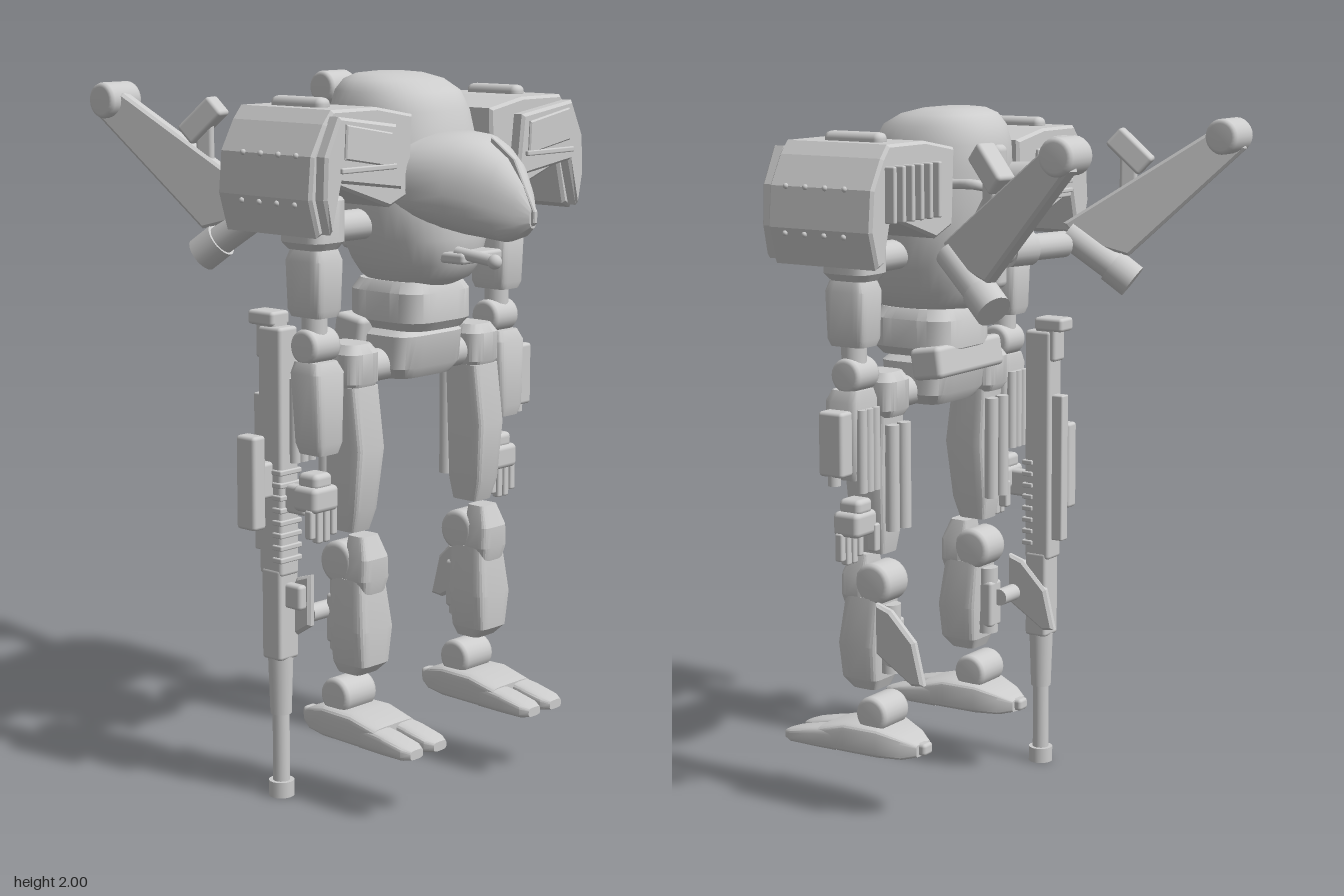
import * as THREE from 'three';
import { toCreasedNormals, mergeVertices } from 'three/addons/utils/BufferGeometryUtils.js';
import { RoundedBoxGeometry } from 'three/addons/geometries/RoundedBoxGeometry.js';

const armor = new THREE.MeshStandardMaterial({ color: 0xcccccc });
armor.name = 'light grey armor';

function add(parent, name, geo, x = 0, y = 0, z = 0) {
  const m = new THREE.Mesh(geo, armor);
  m.name = name;
  m.position.set(x, y, z);
  parent.add(m);
  return m;
}
// Rounded box given by its extents on each axis
function box(p, name, x0, x1, y0, y1, z0, z1, r = 0.01) {
  const w = Math.abs(x1 - x0), h = y1 - y0, d = z1 - z0;
  const rad = Math.min(r, w * 0.45, h * 0.45, d * 0.45);
  return add(p, name, new RoundedBoxGeometry(w, h, d, 2, rad), (x0 + x1) / 2, (y0 + y1) / 2, (z0 + z1) / 2);
}
// Cylinder between two points
function rod(p, name, a, b, r, r2 = r, n = 20) {
  const A = new THREE.Vector3(...a), B = new THREE.Vector3(...b);
  const m = add(p, name, new THREE.CylinderGeometry(r2, r, A.distanceTo(B), n));
  m.position.copy(A).lerp(B, 0.5);
  m.quaternion.setFromUnitVectors(new THREE.Vector3(0, 1, 0), B.sub(A).normalize());
  return m;
}
// Lathed drum with rounded rims, lying along x
function drum(p, name, x, y, z, r, w) {
  const b = r * 0.25, h = w / 2;
  const pts = [[0, -h], [r - b, -h], [r - b * 0.3, -h + b * 0.3], [r, -h + b], [r, h - b], [r - b * 0.3, h - b * 0.3], [r - b, h], [0, h]];
  const g = new THREE.LatheGeometry(pts.map(q => new THREE.Vector2(...q)), 24);
  return add(p, name, g.rotateZ(Math.PI / 2), x, y, z);
}
// Loft of sections [t, cx, c2, halfWidth, half2] along y or z; e is roundness (2 = ellipse)
function loft(p, name, axis, secs, e = 2, n = 32, crease = 0.6) {
  const pos = [], idx = [];
  const put = (u, v, t) => (axis === 'y' ? pos.push(u, t, v) : pos.push(u, v, t));
  const pw = c => Math.sign(c) * Math.abs(c) ** (2 / e);
  for (const [t, cx, c2, hw, h2] of secs)
    for (let i = 0; i < n; i++) {
      const a = ((i + 0.5) / n) * Math.PI * 2;
      put(cx + hw * pw(Math.cos(a)), c2 + h2 * pw(Math.sin(a)), t);
    }
  const last = secs.length - 1;
  for (const s of [secs[0], secs[last]]) put(s[1], s[2], s[0]);
  const c0 = secs.length * n;
  const tri = (a, b, c) => (axis === 'y' ? idx.push(a, b, c) : idx.push(a, c, b));
  for (let i = 0; i < n; i++) {
    const j = (i + 1) % n;
    for (let k = 0; k < last; k++) {
      tri(k * n + i, (k + 1) * n + i, k * n + j);
      tri(k * n + j, (k + 1) * n + i, (k + 1) * n + j);
    }
    tri(c0, i, j);
    tri(c0 + 1, last * n + j, last * n + i);
  }
  const g = new THREE.BufferGeometry();
  g.setAttribute('position', new THREE.Float32BufferAttribute(pos, 3));
  g.setIndex(idx);
  return add(p, name, toCreasedNormals(mergeVertices(g), crease));
}
// Bevelled plate from a 2D outline, extruded z0..z1
function plate(p, name, pts, z0, z1, b = 0.008) {
  const g = new THREE.ExtrudeGeometry(new THREE.Shape(pts.map(q => new THREE.Vector2(...q))),
    { depth: z1 - z0 - 2 * b, bevelEnabled: true, bevelSize: b, bevelThickness: b, bevelOffset: -b, bevelSegments: 1 });
  return add(p, name, g, 0, 0, z0 + b);
}
function part(p, name) {
  const g = new THREE.Group();
  g.name = name;
  p.add(g);
  return g;
}

function buildTorso(p) {
  // Sections: y, half width, front z, back z
  const hull = [[1.42, .09, .27, .06], [1.45, .125, .335, .02], [1.49, .15, .362, -.005], [1.56, .185, .37, -.025],
    [1.65, .205, .365, -.045], [1.74, .205, .345, -.06], [1.83, .19, .32, -.07], [1.9, .178, .305, -.07],
    [1.95, .165, .275, -.055], [1.98, .14, .22, -.03], [1.995, .1, .16, 0], [2, .05, .11, .04]];
  loft(p, 'hull', 'y', hull.map(([y, w, f, b]) => [y, 0, (f + b) / 2, w, (f - b) / 2]), 2.3, 40, 0.9);
  // Sections: z, half width, bottom y, top y
  const canopy = [[.2, .2, 1.6, 1.83], [.32, .192, 1.59, 1.85], [.4, .15, 1.575, 1.845], [.45, .122, 1.57, 1.825],
    [.51, .085, 1.563, 1.785], [.56, .045, 1.58, 1.72], [.59, .015, 1.605, 1.66]];
  loft(p, 'canopy', 'z', canopy.map(([z, w, b, t]) => [z, 0, (b + t) / 2, w, (t - b) / 2]), 2.4, 32, 0.5);
  plate(p, 'canopyRidge', [[-.45, 1.84], [-.53, 1.785], [-.6, 1.65], [-.6, 1.62], [-.56, 1.585], [-.4, 1.6]], -.008, .008, .003)
    .parent.children.at(-1).rotation.y = Math.PI / 2;
  p.children.at(-1).position.set(-.005, 0, 0);
  // Chin sensor
  box(p, 'chinBlock', -.085, .085, 1.5, 1.53, .3, .42);
  rod(p, 'chinBarrel', [-.06, 1.53, .38], [-.06, 1.515, .52], .016);
  add(p, 'chinLens', new THREE.SphereGeometry(.02, 16, 12), -.06, 1.515, .51);
  box(p, 'sideCamera', .19, .235, 1.74, 1.8, .22, .29).rotation.y = .4;
  // Rear thruster and hooked pipe
  rod(p, 'rearThruster', [-.095, 1.79, 0], [-.095, 1.79, -.12], .052, .058, 24);
  rod(p, 'rearThrusterCap', [-.095, 1.79, -.12], [-.095, 1.79, -.128], .058, .04, 24);
  const pipe = new THREE.CatmullRomCurve3([[.16, 1.8, -.02], [.15, 1.8, -.09], [.09, 1.78, -.095], [.08, 1.68, -.04]].map(q => new THREE.Vector3(...q)));
  add(p, 'rearPipe', new THREE.TubeGeometry(pipe, 16, .014, 8));
  box(p, 'rearSpine', -.03, .03, 1.5, 1.9, -.085, 0, .02);
  // Waist and pelvis
  loft(p, 'waist', 'y', [[1.305, 0, .16, .115, .12], [1.33, 0, .16, .135, .138], [1.41, 0, .16, .135, .138], [1.44, 0, .16, .115, .12]], 4);
  loft(p, 'pelvis', 'y', [[1.17, 0, .15, .11, .08], [1.2, 0, .15, .135, .1], [1.29, 0, .15, .135, .11], [1.31, 0, .15, .11, .09]], 5);
  box(p, 'pelvisSlab', -.165, .165, 1.25, 1.34, .02, .12, .015).rotation.x = .15;
  rod(p, 'hipAxle', [-.25, 1.21, .16], [.25, 1.21, .16], .045);
}

function buildPod(p, s) {
  // Shoulder housing profile
  const prof = [[.16, 1.9], [.3, 1.925], [.47, 1.925], [.5, 1.89], [.545, 1.81], [.555, 1.7], [.525, 1.6], [.49, 1.615], [.46, 1.73], [.25, 1.66], [.17, 1.69]];
  plate(p, 'shoulderHousing', prof.map(([x, y]) => [s * x, y]), -.03, .31);
  const face = [[.26, 1.88], [.48, 1.91], [.53, 1.81], [.535, 1.7], [.51, 1.61], [.47, 1.74], [.24, 1.71]];
  plate(p, 'housingFront', face.map(([x, y]) => [s * x, y]), .3, .345);
  const inset = [[.285, 1.86], [.46, 1.89], [.465, 1.8], [.28, 1.77]];
  plate(p, 'frontPanel', inset.map(([x, y]) => [s * x, y]), .335, .352, .004);
  box(p, 'frontSlot', s * .27, s * .48, 1.765, 1.78, .335, .354, .004);
  box(p, 'topHandle', s * .375, s * .425, 1.91, 1.95, .035, .22, .02);
  for (let i = 0; i < 4; i++) // side rivets
    for (const [x, y] of [[.546, 1.81], [.552, 1.685]])
      add(p, 'rivet', new THREE.SphereGeometry(.008, 8, 6), s * x, y, .06 + i * .064);
  if (s > 0) for (let i = 0; i < 6; i++) box(p, 'rearFin', .265 + i * .042, .28 + i * .042, 1.72, 1.87, -.06, -.01, .005);
  else {
    box(p, 'louverPlate', -.44, -.255, 1.72, 1.87, -.04, -.02, .005);
    for (let i = 0; i < 5; i++) box(p, 'louver', -.43, -.265, 1.735 + i * .027, 1.748 + i * .027, -.052, -.03, .004);
    box(p, 'rearBump', -.415, -.345, 1.87, 1.9, -.07, -.02, .01);
  }
  rod(p, 'shoulderAxle', [s * .15, 1.6, .15], [s * .35, 1.6, .15], .042);
  box(p, 'shoulderLink', s * .17, s * .25, 1.68, 1.84, .1, .27);
}

function buildArm(p, s) {
  const X = s * .38;
  loft(p, 'shoulder', 'y', [[1.55, X, .15, .05, .06], [1.57, X, .15, .066, .075], [1.68, X, .15, .066, .075], [1.71, X, .15, .045, .055]], 4);
  loft(p, 'upperArm', 'y', [[1.37, X, .155, .042, .055], [1.39, X, .155, .05, .062], [1.52, X, .155, .054, .066], [1.55, X, .155, .045, .055]], 6, 24);
  rod(p, 'upperArmCore', [X, 1.28, .155], [X, 1.4, .155], .035);
  drum(p, 'elbow', s * .375, 1.29, .155, .048, .105);
  loft(p, 'forearm', 'y', [[1, X, .17, .04, .042], [1.03, X, .17, .05, .05], [1.22, X, .165, .058, .055], [1.25, X, .16, .045, .045]], 6, 24);
  for (const dx of [-.03, 0, .03]) rod(p, 'forearmPiston', [X + dx, .97, .11], [X + dx, 1.2, .11], .015, .015, 12);
  if (s > 0) {
    box(p, 'forearmPack', .435, .49, 1.02, 1.2, .12, .2);
    rod(p, 'packNozzle', [.47, .995, .16], [.47, 1.03, .16], .018);
  }
  // Hand
  box(p, 'wrist', X - .035, X + .035, .9, .945, .12, .19, .015);
  box(p, 'palm', X - .05, X + .05, .84, .91, .115, .2, .015);
  for (let i = 0; i < 4; i++) {
    const x = X - .042 + i * .028;
    box(p, 'finger', x - .011, x + .011, i % 3 ? .755 : .77, .85, .165, .19, .006);
  }
  box(p, 'thumb', X - s * .055, X - s * .03, .79, .87, .11, .14, .006);
}

function buildLeg(p, s) {
  const X = s * .253;
  loft(p, 'hipJoint', 'y', [[1.16, X, .16, .05, .06], [1.18, X, .16, .062, .072], [1.26, X, .16, .062, .072], [1.285, X, .16, .045, .055]], 4);
  loft(p, 'thigh', 'y', [[.77, X + s * .005, .17, .038, .045], [.83, X + s * .005, .175, .048, .06], [1, X, .185, .056, .068], [1.17, X, .17, .055, .06]], 6, 24, .3);
  for (const dx of [-.028, .028]) rod(p, 'thighPiston', [X + dx, .84, .1], [X + dx, 1.14, .1], .02, .02, 12);
  // Knee and shin
  drum(p, 'knee', X, .68, .16, .06, .11);
  loft(p, 'kneeCap', 'y', [[.6, X, .225, .045, .035], [.64, X, .225, .055, .045], [.7, X, .225, .052, .045], [.76, X, .215, .035, .03]], 5, 24, .3);
  loft(p, 'shin', 'y', [[.37, X, .195, .045, .04], [.4, X, .205, .058, .062], [.5, X, .205, .07, .068], [.64, X, .195, .055, .06]], 6, 24, .3);
  rod(p, 'calfPiston', [X, .42, .13], [X, .62, .13], .03);
  box(p, 'calfBlock', X - .03, X + .03, .44, .58, .1, .16);
  // Calf fin, drawn in the side plane
  const fin = plate(p, 'calfFin', [[-.11, .645], [-.06, .63], [.02, .55], [.05, .43], [.01, .425], [-.11, .5]], -.014, .014);
  fin.rotation.y = Math.PI / 2;
  fin.position.x = s * .345 - .006;
  fin.position.z = 0;
  rod(p, 'finMount', [X, .53, .09], [s * .34, .53, .09], .025);
  // Ankle and foot
  drum(p, 'ankle', X, .3, .16, .052, .125);
  loft(p, 'foot', 'z', [[.02, X, .21, .035, .018], [.06, X, .215, .06, .033], [.13, X, .225, .082, .045], [.24, X, .225, .088, .045], [.33, X, .212, .085, .033]], 6, 24, .4);
  box(p, 'heelSpur', X - .022, X + .022, .195, .23, 0, .1);
  for (const d of [-.048, .048])
    loft(p, 'toe', 'z', [[.27, X + d, .215, .038, .036], [.36, X + d, .208, .042, .029], [.43, X + d, .2, .04, .02], [.455, X + d, .198, .026, .013]], 4, 20, .5);
}

function buildWing(p, s) {
  rod(p, 'wingArm', [s * .05, 1.6, -.05], [s * .28, 1.6, -.11], .038);
  rod(p, 'wingCollar', [s * .07, 1.6, -.05], [s * .15, 1.6, -.075], .05);
  // Local x runs outward along the blade
  const w = part(p, 'wing');
  w.position.set(s * .3, 0, -.1);
  w.rotation.y = Math.atan2(.42, s * .15);
  plate(w, 'blade', [[0, 1.66], [.43, 1.935], [.5, 1.94], [.52, 1.88], [.19, 1.57], [.04, 1.61]], -.022, .022);
  rod(w, 'bladePivot', [.01, 1.63, 0], [.195, 1.5, 0], .042);
  rod(w, 'pivotCap', [.14, 1.54, 0], [.2, 1.495, 0], .05);
  box(w, 'bladePodMount', .16, .21, 1.72, 1.87, -.012, .012);
  box(w, 'bladePod', .125, .255, 1.835, 1.9, -.03, .03).rotation.z = -.75;
  drum(p, 'wingTip', s * .443, 1.915, -.55, .05, .115);
}

function buildRifle(p) {
  const X = -.38, Z = .02;
  rod(p, 'muzzle', [X, 0, Z], [X, .045, Z], .036);
  rod(p, 'barrel', [X, .03, Z], [X, .4, Z], .024);
  rod(p, 'barrelCollar', [X, .24, Z], [X, .42, Z], .03, .036);
  box(p, 'barrelShroud', X - .038, X + .038, .4, .66, Z - .036, Z + .036);
  box(p, 'receiver', X - .036, X + .036, .64, 1.33, -.025, .06);
  box(p, 'rearRail', X - .018, X + .018, .7, 1.14, -.06, -.02, .005);
  for (let i = 0; i < 8; i++) box(p, 'rib', X - .042, X + .042, .68 + i * .035, .695 + i * .035, .03, .066, .004);
  box(p, 'stock', X - .03, X + .03, 1.24, 1.37, -.04, .03);
  box(p, 'stockPlate', X - .035, X + .035, 1.33, 1.37, -.065, .03);
  box(p, 'magazine', -.498, -.45, .78, 1.04, -.03, .04);
  box(p, 'magazineMount', -.46, -.4, .86, .96, -.01, .03);
  box(p, 'grip', X - .018, X + .018, .82, .9, .04, .13);
  box(p, 'foreGrip', X - .016, X + .016, .55, .62, .04, .11);
}

export function createModel() {
  const root = new THREE.Group();
  root.name = 'walkerRobot';
  buildTorso(part(root, 'torso'));
  for (const s of [1, -1]) {
    const side = s > 0 ? 'left' : 'right';
    buildPod(part(root, side + 'ShoulderPod'), s);
    buildArm(part(root, side + 'Arm'), s);
    buildLeg(part(root, side + 'Leg'), s);
    buildWing(part(root, side + 'Wing'), s);
  }
  buildRifle(part(root, 'rifle'));
  return root;
}
